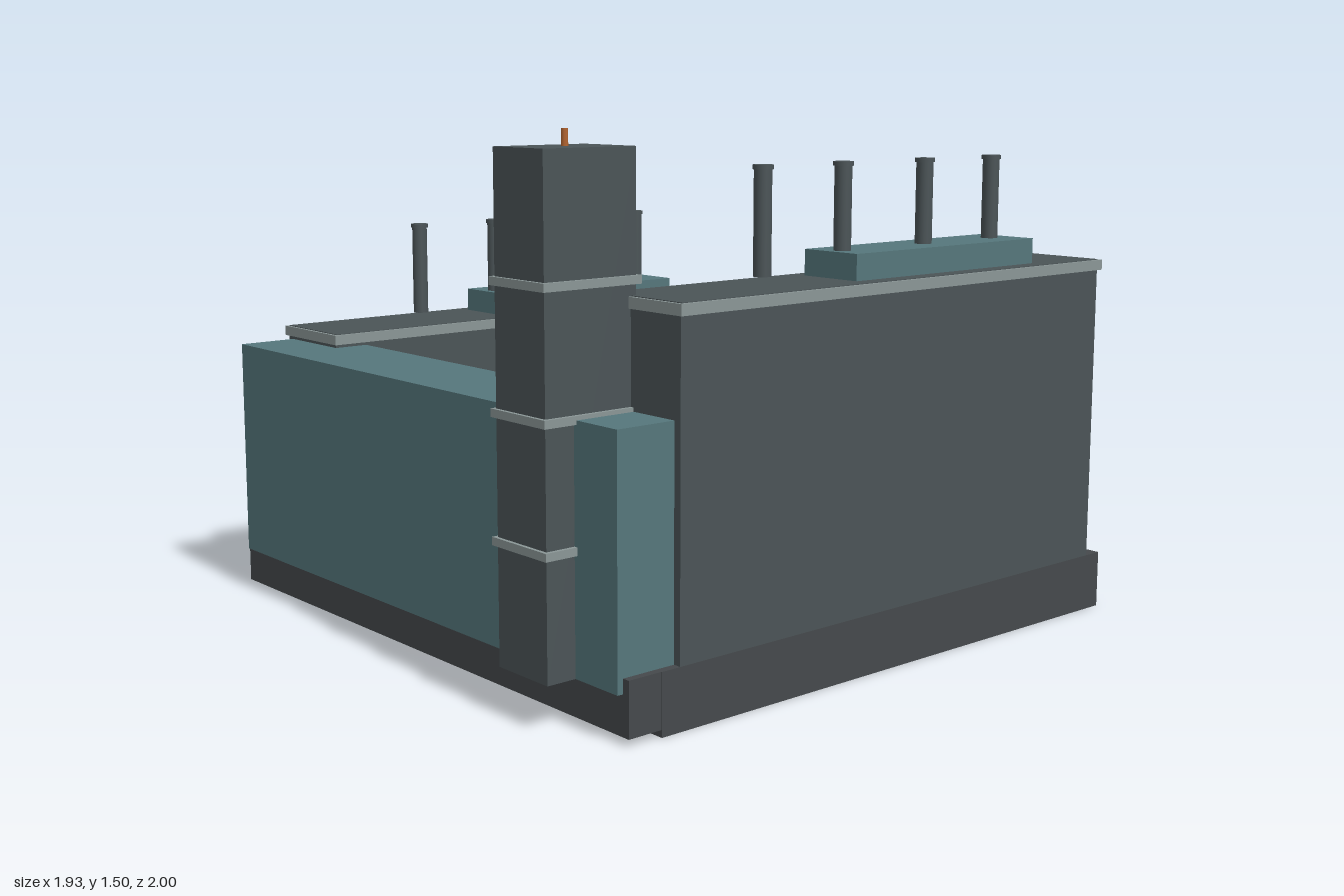
import * as THREE from 'three';

const mat = (name, color) => {
  const m = new THREE.MeshStandardMaterial({ color });
  m.name = name;
  return m;
};

export function createModel() {
  const model = new THREE.Group();
  model.name = 'factory';
  const wall = mat('slate wall', 0x4b5457);
  const base = mat('dark plinth', 0x45494c);
  const teal = mat('teal cladding', 0x56777c);
  const trim = mat('pale trim', 0x8b9797);
  const copper = mat('copper', 0xb4652f);

  const add = (parent, name, geo, material) => {
    const m = new THREE.Mesh(geo, material);
    m.name = name;
    parent.add(m);
    return m;
  };
  // Box given by its low and high corners
  const box = (parent, name, material, x0, x1, y0, y1, z0, z1) => {
    const m = add(parent, name, new THREE.BoxGeometry(Math.abs(x1 - x0), y1 - y0, z1 - z0), material);
    m.position.set((x0 + x1) / 2, (y0 + y1) / 2, (z0 + z1) / 2);
    return m;
  };

  // Bay on the courtyard face: framed shutter with a strip window above.
  // x = 0 is the wall face and s points towards the courtyard.
  const addBay = (parent, face, s, z) => {
    const g = new THREE.Group();
    g.name = 'bay';
    g.position.set(face, 0, z);
    parent.add(g);
    box(g, 'shutter', wall, 0, s * 0.005, 0.17, 0.38, -0.085, 0.085);
    for (let i = 0; i < 6; i++) {
      const y = 0.195 + i * 0.03;
      box(g, 'shutterSlat', trim, 0, s * 0.008, y, y + 0.006, -0.08, 0.08);
    }
    for (const k of [-1, 1])
      box(g, 'doorJamb', copper, 0, s * 0.012, 0.17, 0.385, k * 0.09 - 0.006, k * 0.09 + 0.006);
    box(g, 'doorLintel', copper, 0, s * 0.012, 0.378, 0.392, -0.096, 0.096);
    box(g, 'windowFrame', wall, 0, s * 0.012, 0.44, 0.505, -0.1, 0.1);
    for (let i = 0; i < 4; i++) {
      const c = -0.069 + i * 0.046;
      box(g, 'windowPane', teal, s * 0.01, s * 0.014, 0.45, 0.49, c - 0.019, c + 0.019);
    }
    box(g, 'windowHead', wall, 0, s * 0.016, 0.5, 0.51, -0.1, 0.1);
    box(g, 'windowSill', trim, 0, s * 0.015, 0.436, 0.442, -0.098, 0.098);
  };

  // Long side wing; s points towards the courtyard
  const addWing = (name, cx, s, roof, boxShift) => {
    const g = new THREE.Group();
    g.name = name;
    model.add(g);
    box(g, 'wingPlinth', base, cx - 0.146, cx + 0.146, 0, 0.17, -1, 0.78);
    box(g, 'wingBody', wall, cx - 0.145, cx + 0.145, 0.17, roof - 0.01, -0.94, 0.72);
    box(g, 'roofTrim', trim, cx - 0.155, cx + 0.155, roof - 0.03, roof, -0.95, 0.727);
    box(g, 'roofDeck', wall, cx - 0.145, cx + 0.145, roof - 0.005, roof + 0.002, -0.94, 0.717);
    box(g, 'roofHousing', teal, cx - 0.097, cx + 0.097, roof, roof + 0.075, -0.69, 0.055);
    for (const z of [-0.61, -0.32, 0.01, 0.31]) {
      const c = add(g, 'chimney', new THREE.CylinderGeometry(0.024, 0.024, 0.29, 16), wall);
      c.position.set(cx, roof + 0.17, z);
      const lip = add(g, 'chimneyLip', new THREE.CylinderGeometry(0.028, 0.028, 0.012, 16), wall);
      lip.position.set(cx, roof + 0.31, z);
    }
    const face = cx + s * 0.145;
    for (const z of [-0.61, -0.28, 0.06, 0.39]) {
      addBay(g, face, s, z);
      const b = z + boxShift;
      box(g, 'utilityBox', base, face, face + s * 0.012, 0.17, 0.235, b - 0.025, b + 0.025);
    }
    // Twin pipes along the courtyard face
    for (const y of [0.61, 0.637]) {
      const p = add(g, 'pipe', new THREE.CylinderGeometry(0.006, 0.006, 1.56, 8), copper);
      p.rotation.x = Math.PI / 2;
      p.position.set(face + s * 0.004, y, -0.177);
    }
  };
  addWing('rightWing', -0.81, 1, 0.83, -0.165);
  addWing('leftWing', 0.806, -1, 1.08, 0.165);

  // Front block joining the wings
  const front = new THREE.Group();
  front.name = 'frontBlock';
  model.add(front);
  box(front, 'frontPlinth', base, -0.955, 0.95, 0.02, 0.17, 0.55, 0.885);
  box(front, 'frontCladding', teal, -0.93, 0.928, 0.13, 0.79, 0.612, 0.902);
  box(front, 'courtyardWall', wall, -0.665, 0.661, 0.17, 0.788, 0.606, 0.613);
  for (const y of [0.3, 0.45, 0.6, 0.74])
    box(front, 'wallRail', base, -0.665, 0.661, y - 0.006, y + 0.006, 0.602, 0.608);
  for (let i = -2; i <= 2; i++) {
    const p = add(front, 'wallPost', new THREE.CylinderGeometry(0.01, 0.01, 0.61, 8), trim);
    p.position.set(i * 0.247, 0.475, 0.603);
  }

  // Slatted racks
  for (const x of [0.288, 0.537]) {
    box(front, 'rackBody', wall, x - 0.085, x + 0.085, 0.17, 0.425, 0.565, 0.607);
    for (let i = 0; i < 5; i++) {
      const y = 0.2 + i * 0.046;
      box(front, 'rackSlat', copper, x - 0.09, x + 0.09, y, y + 0.018, 0.548, 0.57);
    }
  }

  // Wall ring with dark clamps
  const ring = new THREE.Group();
  ring.name = 'wallRing';
  ring.position.set(-0.46, 0.5, 0.598);
  front.add(ring);
  add(ring, 'ringBand', new THREE.TorusGeometry(0.17, 0.01, 8, 40), copper);
  for (let i = 0; i < 16; i++) {
    const a = (i / 16) * Math.PI * 2;
    const c = add(ring, 'ringClamp', new THREE.BoxGeometry(0.024, 0.01, 0.022), base);
    c.position.set(0.17 * Math.cos(a), 0.17 * Math.sin(a), 0);
    c.rotation.z = a;
  }

  // Tower
  const tower = new THREE.Group();
  tower.name = 'tower';
  model.add(tower);
  box(tower, 'towerShaft', wall, 0.56, 0.762, 0.13, 1.452, 0.703, 0.99);
  for (const y of [0.46, 0.79, 1.122])
    box(tower, 'towerBand', trim, 0.549, 0.773, y - 0.011, y + 0.011, 0.692, 1);
  const beacon = add(tower, 'beacon', new THREE.CylinderGeometry(0.009, 0.009, 0.045, 8), copper);
  beacon.position.set(0.661, 1.473, 0.846);

  return model;
}
